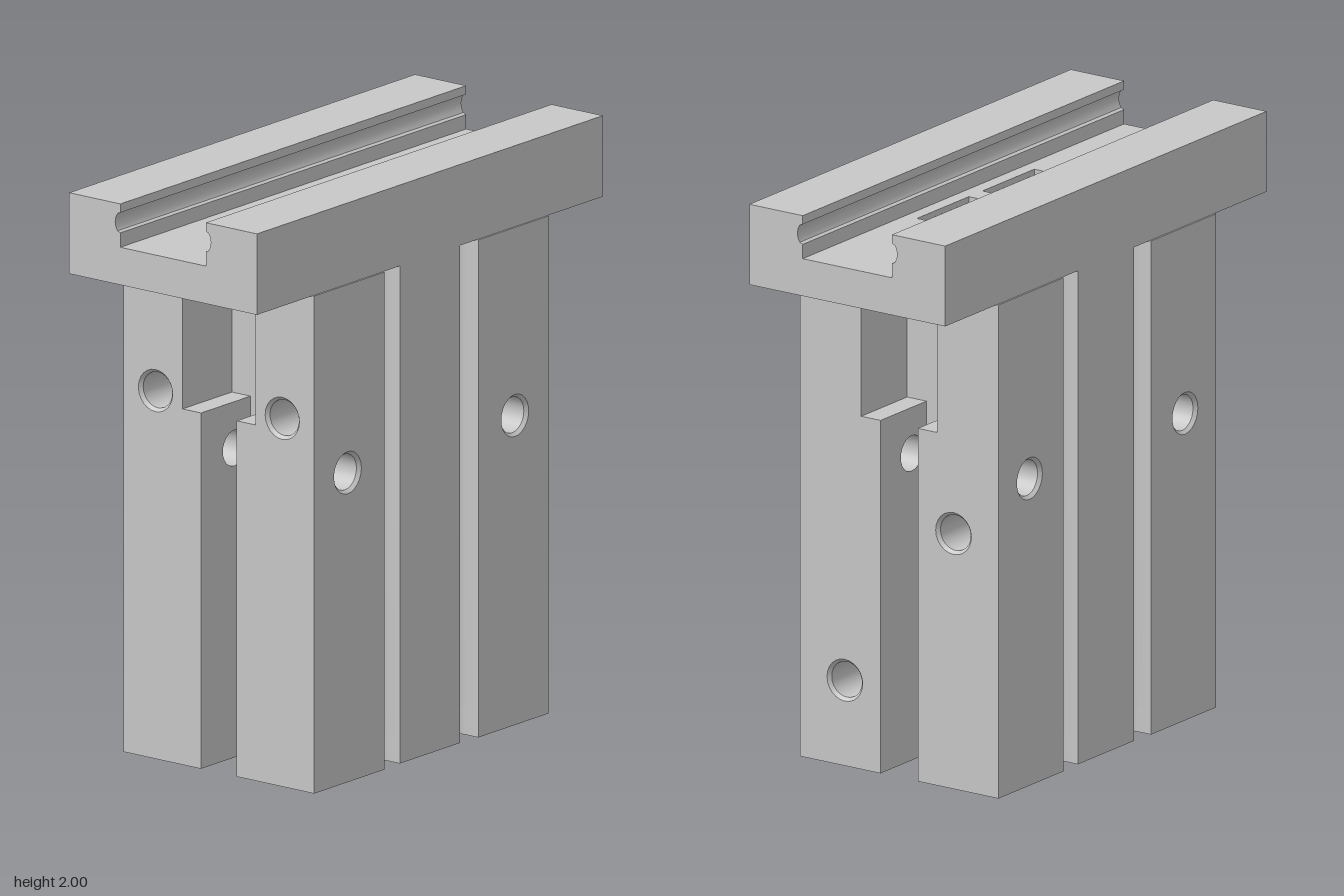
import * as THREE from 'three';
import { toCreasedNormals } from 'three/addons/utils/BufferGeometryUtils.js';

const grey = new THREE.MeshStandardMaterial({ color: 0xc7c7c7, side: THREE.DoubleSide });
grey.name = 'machinedGrey';

const BODY_TOP = 1.72, CORE_X = 0.36, BODY_X = 0.623, PAD_Z = 0.406;
const HEAD_X = 0.92, HEAD_Z = 0.4, FLOOR = 1.85, POCKET = 0.02;

function add(parent, name, geometry) {
  const mesh = new THREE.Mesh(geometry, grey);
  mesh.name = name;
  parent.add(mesh);
  return mesh;
}

const shapeOf = (pts) => new THREE.Shape(pts.map(([x, y]) => new THREE.Vector2(x, y)));
const rect = (x0, y0, x1, y1) => [[x0, y0], [x1, y0], [x1, y1], [x0, y1]];

// Flat face with countersunk holes; its local +z is the outside
function panel(parent, name, pts, holes = []) {
  const group = new THREE.Group();
  group.name = name;
  const shape = shapeOf(pts);
  for (const { x, y, r = 0.062, rim = 0.073, depth, blind } of holes) {
    shape.holes.push(new THREE.Path().absarc(x, y, rim, 0, Math.PI * 2, true));
    const sink = rim > r ? 0.012 : 0;
    const walls = [['bore', r, r, sink, depth]];
    if (sink) walls.push(['countersink', rim, r, 0, sink]);
    for (const [part, outer, inner, from, to] of walls) {
      const wall = new THREE.CylinderGeometry(outer, inner, to - from, 24, 1, true).rotateX(Math.PI / 2);
      // Turn the wall inwards so that it faces the hole's axis
      wall.index.array.reverse();
      wall.attributes.normal.array.forEach((n, i, a) => { a[i] = -n; });
      add(group, part, wall).position.set(x, y, -(from + to) / 2);
    }
    if (blind) add(group, 'boreEnd', new THREE.CircleGeometry(r, 24)).position.set(x, y, -depth);
  }
  add(group, name + 'Face', new THREE.ShapeGeometry(shape, 12));
  parent.add(group);
  return group;
}

// Upright extrusion of an x/z outline
function upright(shape, y0, y1) {
  const geo = new THREE.ExtrudeGeometry(shape, { depth: y1 - y0, bevelEnabled: false, curveSegments: 32 });
  geo.rotateX(-Math.PI / 2).translate(0, y0, 0);
  return toCreasedNormals(geo, 0.6);
}

// Central column outline with two round-bottomed grooves on the front and two on the back
function coreShape() {
  const groove = (cx) => Array.from({ length: 13 }, (_, i) => {
    const a = Math.PI * (1 + i / 12);
    return [cx + 0.045 * Math.cos(a), 0.352 + 0.045 * Math.sin(a)];
  });
  const front = [
    [-CORE_X, PAD_Z], [-0.25, PAD_Z], ...groove(-0.205), [-0.16, HEAD_Z],
    [0.16, HEAD_Z], ...groove(0.205), [0.25, PAD_Z], [CORE_X, PAD_Z],
  ];
  return shapeOf([...front, ...front.map(([x, z]) => [-x, -z])]);
}

// Corner block beside the stepped side slot, built for +x +z and mirrored
function cornerBlock(name, sx, sz, sideHole, footHoles) {
  const block = new THREE.Group();
  block.name = name;
  const narrow = 0.076, wide = 0.155, step = 1.23;
  const cross = { x: 0.445, y: 1.07 };

  panel(block, 'outerFace', rect(CORE_X, 0, BODY_X, BODY_TOP),
    [{ ...cross, depth: PAD_Z - narrow }]).position.z = PAD_Z;

  const side = panel(block, 'sideFace', [
    [-PAD_Z, 0], [-narrow, 0], [-narrow, step], [-wide, step], [-wide, BODY_TOP], [-PAD_Z, BODY_TOP],
  ], [{ x: -sideHole[0], y: sideHole[1], depth: 0.2, blind: true }]);
  side.rotation.y = Math.PI / 2;
  side.position.x = BODY_X;

  const lower = panel(block, 'lowerSlotWall', rect(-BODY_X, 0, -CORE_X, step),
    [{ x: -cross.x, y: cross.y, rim: 0.062, depth: 0.02 }]);
  lower.rotation.y = Math.PI;
  lower.position.z = narrow;

  const upper = panel(block, 'upperSlotWall', rect(-BODY_X, step, -CORE_X, BODY_TOP));
  upper.rotation.y = Math.PI;
  upper.position.z = wide;

  const ledge = panel(block, 'slotLedge', rect(CORE_X, -wide, BODY_X, -narrow));
  ledge.rotation.x = -Math.PI / 2;
  ledge.position.y = step;

  const top = panel(block, 'blockTop', rect(CORE_X, -PAD_Z, BODY_X, -wide));
  top.rotation.x = -Math.PI / 2;
  top.position.y = BODY_TOP;

  const bottom = panel(block, 'blockBottom', rect(CORE_X, narrow, BODY_X, PAD_Z), footHoles);
  bottom.rotation.x = Math.PI / 2;

  block.scale.set(sx, 1, sz);
  return block;
}

// Rail along x with a rounded groove on its inner face
function railGeometry() {
  const shape = shapeOf([
    [HEAD_Z, FLOOR], [HEAD_Z, 2], [0.182, 2], [0.182, 1.97], [0.194, 1.965], [0.201, 1.952],
    [0.204, 1.935], [0.201, 1.918], [0.194, 1.905], [0.182, 1.9], [0.182, FLOOR],
  ]);
  const geo = new THREE.ExtrudeGeometry(shape, { depth: HEAD_X * 2, bevelEnabled: false });
  geo.translate(0, 0, -HEAD_X).rotateY(-Math.PI / 2);
  return toCreasedNormals(geo, 0.5);
}

export function createModel() {
  const model = new THREE.Group();
  model.name = 'railClampBlock';

  // Central column, with a round recess in the underside
  const base = coreShape();
  base.holes.push(new THREE.Path().absarc(0, 0, 0.31, 0, Math.PI * 2, true));
  add(model, 'columnBase', upright(base, 0, 0.09));
  add(model, 'column', upright(coreShape(), 0.09, BODY_TOP));

  // Corner blocks, each with its own side hole [z, y]; three have a hole underneath
  const foot = [{ x: 0.475, y: 0.26, depth: 0.15, blind: true }];
  model.add(
    cornerBlock('leftFrontBlock', 1, 1, [0.222, 0.298], []),
    cornerBlock('leftBackBlock', 1, -1, [0.222, 0.89], foot),
    cornerBlock('rightFrontBlock', -1, 1, [0.27, 1.273], foot),
    cornerBlock('rightBackBlock', -1, -1, [0.27, 1.273], foot),
  );

  // Head slab, with two shallow rectangular pockets in the channel floor
  const slabHeight = FLOOR - POCKET - BODY_TOP;
  add(model, 'headSlab', new THREE.BoxGeometry(HEAD_X * 2, slabHeight, HEAD_Z * 2))
    .position.y = BODY_TOP + slabHeight / 2;
  const floor = shapeOf(rect(-HEAD_X, -HEAD_Z, HEAD_X, HEAD_Z));
  for (const x of [-0.337, 0.038]) floor.holes.push(shapeOf(rect(x, -0.133, x + 0.297, 0.136)));
  add(model, 'channelFloor', upright(floor, FLOOR - POCKET, FLOOR));

  // Front and back rails
  add(model, 'frontRail', railGeometry());
  add(model, 'backRail', railGeometry()).rotation.y = Math.PI;

  return model;
}
